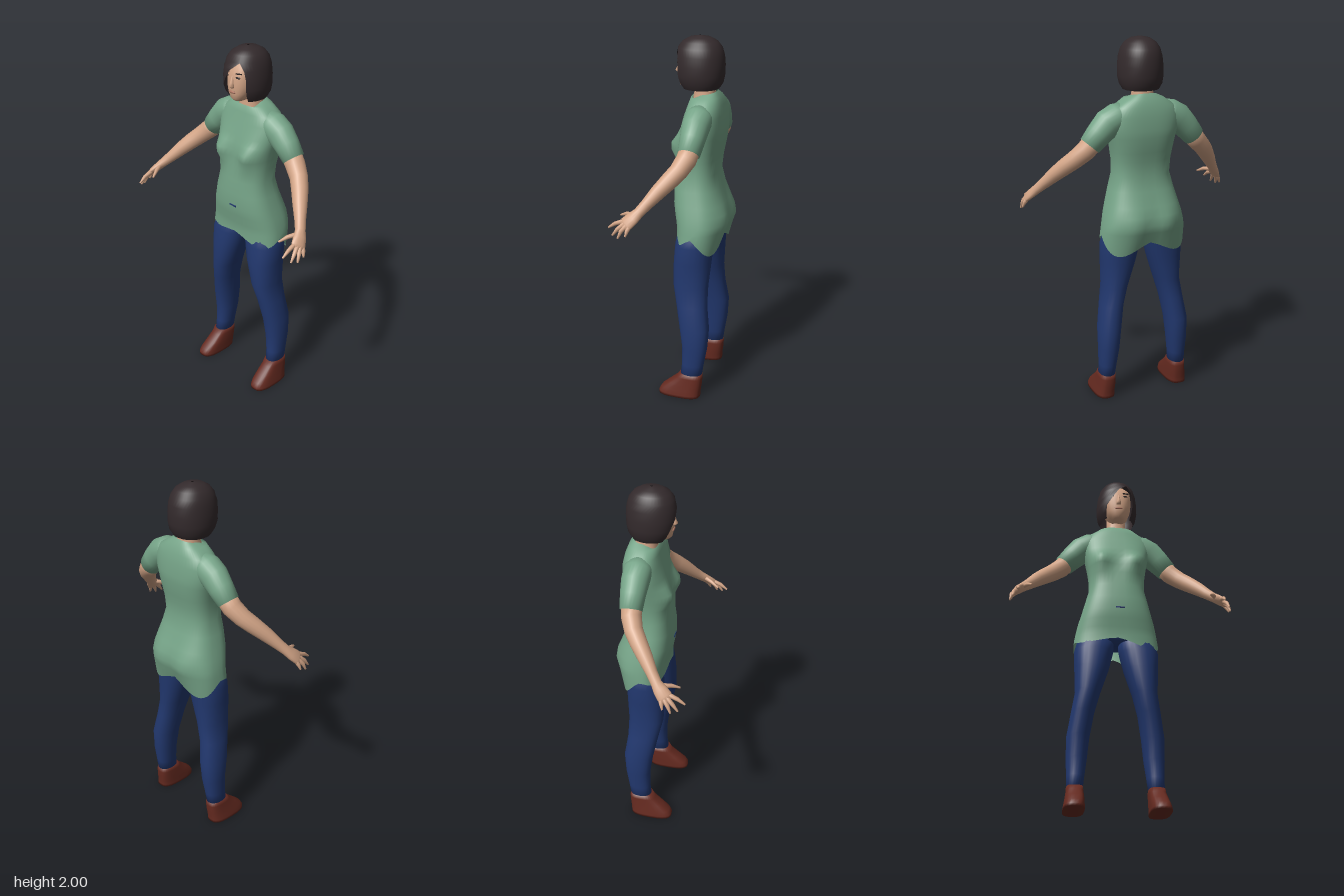
import * as THREE from 'three';
import { mergeVertices } from 'three/addons/utils/BufferGeometryUtils.js';

const V = (x, y, z) => new THREE.Vector3(x, y, z);
const TAU = Math.PI * 2;

// Skin a list of equally long point rings, optionally closing both ends.
function loft(rings, caps = true) {
  const n = rings[0].length, pos = [], idx = [];
  rings.forEach(r => r.forEach(p => pos.push(p.x, p.y, p.z)));
  for (let i = 0; i < rings.length - 1; i++)
    for (let j = 0; j < n - 1; j++) {
      const a = i * n + j, b = a + n;
      idx.push(a, b, a + 1, a + 1, b, b + 1);
    }
  if (caps) [0, rings.length - 1].forEach((k, end) => {
    const c = V(0, 0, 0);
    rings[k].slice(1).forEach(p => c.add(p));
    c.divideScalar(n - 1);
    pos.push(c.x, c.y, c.z);
    const ci = pos.length / 3 - 1;
    for (let j = 0; j < n - 1; j++) {
      const a = k * n + j;
      if (end) idx.push(ci, a + 1, a); else idx.push(ci, a, a + 1);
    }
  });
  let g = new THREE.BufferGeometry();
  g.setAttribute('position', new THREE.Float32BufferAttribute(pos, 3));
  g.setIndex(idx);
  g = mergeVertices(g, 1e-5);
  g.computeVertexNormals();
  return g;
}

// Horizontal rounded ring; angle 0 faces the front and grows toward +x.
function ring(y, x0, x1, zf, zb, e = 0.9, n = 24, a0 = 0, a1 = TAU) {
  const pts = [], pw = v => Math.sign(v) * Math.pow(Math.abs(v) < 1e-9 ? 0 : Math.abs(v), e);
  for (let j = 0; j <= n; j++) {
    const a = a0 + (a1 - a0) * j / n;
    pts.push(V((x0 + x1) / 2 + pw(Math.sin(a)) * (x1 - x0) / 2, y,
      (zf + zb) / 2 + pw(Math.cos(a)) * (zf - zb) / 2));
  }
  return pts;
}

// Tube through stations [x, y, z, thickness, width], mirrored by s.
function limb(stations, s, n = 16) {
  const c = stations.map(p => V(p[0] * s, p[1], p[2]));
  return loft(stations.map((p, i) => {
    const t = c[Math.min(i + 1, c.length - 1)].clone().sub(c[Math.max(i - 1, 0)]).normalize();
    const u = V(s, 1, 0);
    u.addScaledVector(t, -u.dot(t)).normalize();
    const v = u.clone().cross(t);
    return Array.from({ length: n + 1 }, (_, j) => {
      const a = TAU * j / n;
      return c[i].clone().addScaledVector(u, Math.cos(a) * p[3])
        .addScaledVector(v, Math.sin(a) * (p[4] ?? p[3]));
    });
  }));
}

export function createModel() {
  const model = new THREE.Group();
  model.name = 'standingWoman';
  const mat = (name, color, side = THREE.FrontSide) => {
    const m = new THREE.MeshStandardMaterial({ color, side });
    m.name = name;
    return m;
  };
  const shirt = mat('greenShirt', 0x76a488, THREE.DoubleSide);
  const skin = mat('skin', 0xd2a486);
  const denim = mat('blueDenim', 0x22386f);
  const leather = mat('brownLeather', 0x652a20);
  const hair = mat('darkHair', 0x332a2c, THREE.DoubleSide);
  const lip = mat('lips', 0xb07864);
  const dark = mat('eyeDark', 0x2a2424);
  const add = (name, geo, m) => {
    const mesh = new THREE.Mesh(geo, m);
    mesh.name = name;
    model.add(mesh);
    return mesh;
  };

  // Shirt body: [y, half width, front z, back z]
  const body = [
    [1.705, 0.066, -0.035, -0.155], [1.69, 0.105, -0.025, -0.175], [1.65, 0.165, -0.015, -0.19],
    [1.6, 0.195, 0, -0.2], [1.53, 0.19, 0.02, -0.205], [1.49, 0.182, 0.03, -0.202],
    [1.45, 0.174, 0.036, -0.197], [1.41, 0.167, 0.038, -0.19], [1.36, 0.16, 0.042, -0.18],
    [1.28, 0.157, 0.05, -0.172], [1.2, 0.178, 0.058, -0.19], [1.12, 0.2, 0.058, -0.215],
    [1.07, 0.215, 0.05, -0.225], [1.02, 0.226, 0.04, -0.228], [0.98, 0.233, 0.034, -0.222],
    [0.93, 0.236, 0.034, -0.2]];
  const bump = (x, y, cx, cy, r) => Math.exp(-((Math.abs(x) - cx) ** 2 + (y - cy) ** 2) / (r * r));
  const bodyRings = body.map(([y, rx, zf, zb], k) => {
    const pts = ring(y, -rx, rx, zf, zb, 0.75, 48);
    pts.forEach((p, j) => {
      const a = TAU * j / 48, c = Math.cos(a), d = Math.abs(Math.sin(2 * a));
      // bust and seat
      if (c > 0) p.z += 0.044 * bump(p.x, y, 0.1, 1.43, 0.055) * Math.min(1, c * 2);
      else p.z -= 0.022 * bump(p.x, y, 0.09, 1.03, 0.075) * Math.min(1, -c * 2);
      // scooped neckline and uneven hem
      if (k === 0) p.y += c > 0 ? -0.035 * c : -0.012 * c;
      if (k === body.length - 1)
        p.y = c > 0 ? 0.955 - (p.x > 0 ? 0.05 : 0.025) * d : 0.95 - 0.08 * d - 0.03 * c * c;
    });
    return pts;
  });
  add('shirtBody', loft(bodyRings, false), shirt);
  add('hipFill', loft([ring(1.03, -0.18, 0.18, 0.01, -0.19), ring(0.955, -0.17, 0.17, 0, -0.17)]), denim);
  add('waistMark', new THREE.BoxGeometry(0.05, 0.008, 0.006), denim).position.set(0.01, 1.13, 0.058);

  for (const s of [1, -1]) {
    const side = s > 0 ? 'left' : 'right';
    const legRing = ([y, xi, xo, zf, zb], e) =>
      ring(y, s > 0 ? xi : -xo, s > 0 ? xo : -xi, zf, zb, e);

    // Sleeve, bare arm and palm
    add(side + 'Sleeve', limb([[0.1, 1.61, -0.1, 0.065, 0.07], [0.15, 1.595, -0.1, 0.075, 0.075],
      [0.2, 1.565, -0.1, 0.078, 0.072], [0.25, 1.515, -0.1, 0.069, 0.065],
      [0.3, 1.457, -0.097, 0.06, 0.058]], s, 24), shirt);
    add(side + 'Arm', limb([[0.28, 1.48, -0.098, 0.054], [0.32, 1.432, -0.09, 0.053],
      [0.37, 1.385, -0.065, 0.048], [0.41, 1.345, -0.03, 0.045], [0.455, 1.295, 0.015, 0.039],
      [0.5, 1.24, 0.06, 0.03], [0.53, 1.205, 0.09, 0.025, 0.028], [0.55, 1.18, 0.115, 0.021, 0.036],
      [0.567, 1.155, 0.142, 0.017, 0.04], [0.573, 1.142, 0.155, 0.01, 0.03]], s), skin);

    // Fingers and thumb: [base, middle joint, tip]
    [[[0.535, 1.195, 0.11], [0.508, 1.185, 0.16], [0.487, 1.165, 0.202]],
      [[0.556, 1.165, 0.155], [0.558, 1.145, 0.205], [0.556, 1.118, 0.243]],
      [[0.566, 1.155, 0.15], [0.58, 1.125, 0.185], [0.584, 1.09, 0.212]],
      [[0.572, 1.152, 0.135], [0.591, 1.12, 0.162], [0.598, 1.083, 0.178]],
      [[0.57, 1.155, 0.118], [0.59, 1.125, 0.13], [0.6, 1.098, 0.137]]
    ].forEach((f, i) => add(side + (i ? 'Finger' + i : 'Thumb'),
      limb(f.map((p, k) => [...p, [0.013, 0.011, 0.005][k]]), s, 8), skin));

    // Trouser leg: [y, inner x, outer x, front z, back z]
    add(side + 'TrouserLeg', loft([[0.99, 0.03, 0.2, 0, -0.18], [0.95, 0.012, 0.222, 0.02, -0.185],
      [0.9, 0.018, 0.234, 0.028, -0.178], [0.8, 0.042, 0.231, 0.036, -0.17],
      [0.66, 0.088, 0.225, 0.034, -0.16], [0.55, 0.118, 0.243, 0.01, -0.162],
      [0.42, 0.14, 0.264, -0.015, -0.18], [0.3, 0.152, 0.264, -0.032, -0.172],
      [0.2, 0.165, 0.26, -0.032, -0.155], [0.13, 0.173, 0.258, -0.024, -0.145]]
      .map(r => legRing(r))), denim);

    // Shoe upper with a flat sole
    add(side + 'Shoe', loft([[0.14, 0.172, 0.26, -0.018, -0.146], [0.115, 0.17, 0.262, -0.002, -0.148],
      [0.075, 0.168, 0.268, 0.045, -0.145], [0.04, 0.168, 0.274, 0.086, -0.14],
      [0.015, 0.168, 0.279, 0.1, -0.138], [0, 0.168, 0.28, 0.1, -0.138]]
      .map(r => legRing(r, 0.7))), leather);

    // Eye and brow plates
    const eye = add(side + 'Eye', new THREE.SphereGeometry(1, 12, 8), dark);
    eye.scale.set(0.014, 0.005, 0.004);
    eye.position.set(0.04 * s, 1.862, 0.047);
    eye.rotation.y = 0.25 * s;
    const brow = add(side + 'Brow', new THREE.BoxGeometry(0.035, 0.005, 0.006), dark);
    brow.position.set(0.042 * s, 1.883, 0.045);
    brow.rotation.set(0, 0.25 * s, 0.08 * s);
  }

  // Neck and head
  add('neck', loft([ring(1.8, -0.055, 0.055, -0.03, -0.14), ring(1.72, -0.055, 0.055, -0.036, -0.145),
    ring(1.665, -0.068, 0.068, -0.026, -0.15), ring(1.64, -0.07, 0.07, -0.03, -0.15)]), skin);
  add('head', loft([[1.96, 0.05, -0.01, -0.12], [1.92, 0.078, 0.035, -0.16], [1.86, 0.083, 0.05, -0.165],
    [1.81, 0.078, 0.052, -0.15], [1.77, 0.064, 0.05, -0.13], [1.74, 0.045, 0.044, -0.1],
    [1.725, 0.028, 0.03, -0.07]].map(([y, r, f, b]) => ring(y, -r, r, f, b, 0.8))), skin);
  add('nose', loft([[1.865, 0.006, 0.054], [1.83, 0.01, 0.064], [1.812, 0.015, 0.073], [1.802, 0.012, 0.062]]
    .map(([y, r, f]) => ring(y, -r, r, f, 0.035, 0.9, 10))), skin);
  const mouth = add('mouth', new THREE.SphereGeometry(1, 12, 8), lip);
  mouth.scale.set(0.024, 0.007, 0.005);
  mouth.position.set(0, 1.778, 0.051);

  // Bobbed hair with a side-swept opening: [y, half width, front z, back z, start angle, end angle]
  add('hair', loft([[2, 0.006, -0.055, -0.07, 0.45, 0.45], [1.99, 0.05, -0.005, -0.12, 0.45, 0.45],
    [1.97, 0.08, 0.03, -0.155, 0.45, 0.45], [1.94, 0.1, 0.053, -0.178, 0.45, 0.45],
    [1.9, 0.111, 0.066, -0.19, 0.7, 0], [1.85, 0.117, 0.07, -0.194, 0.78, -0.27],
    [1.8, 0.118, 0.067, -0.192, 0.76, -0.58], [1.76, 0.111, 0.052, -0.184, 0.75, -0.66],
    [1.73, 0.095, 0.03, -0.165, 0.78, -0.72]].map(([y, r, f, b, s, e]) =>
      ring(y, -r, r, f, b, 0.95, 40, s, TAU + e)), false), hair);

  return model;
}
